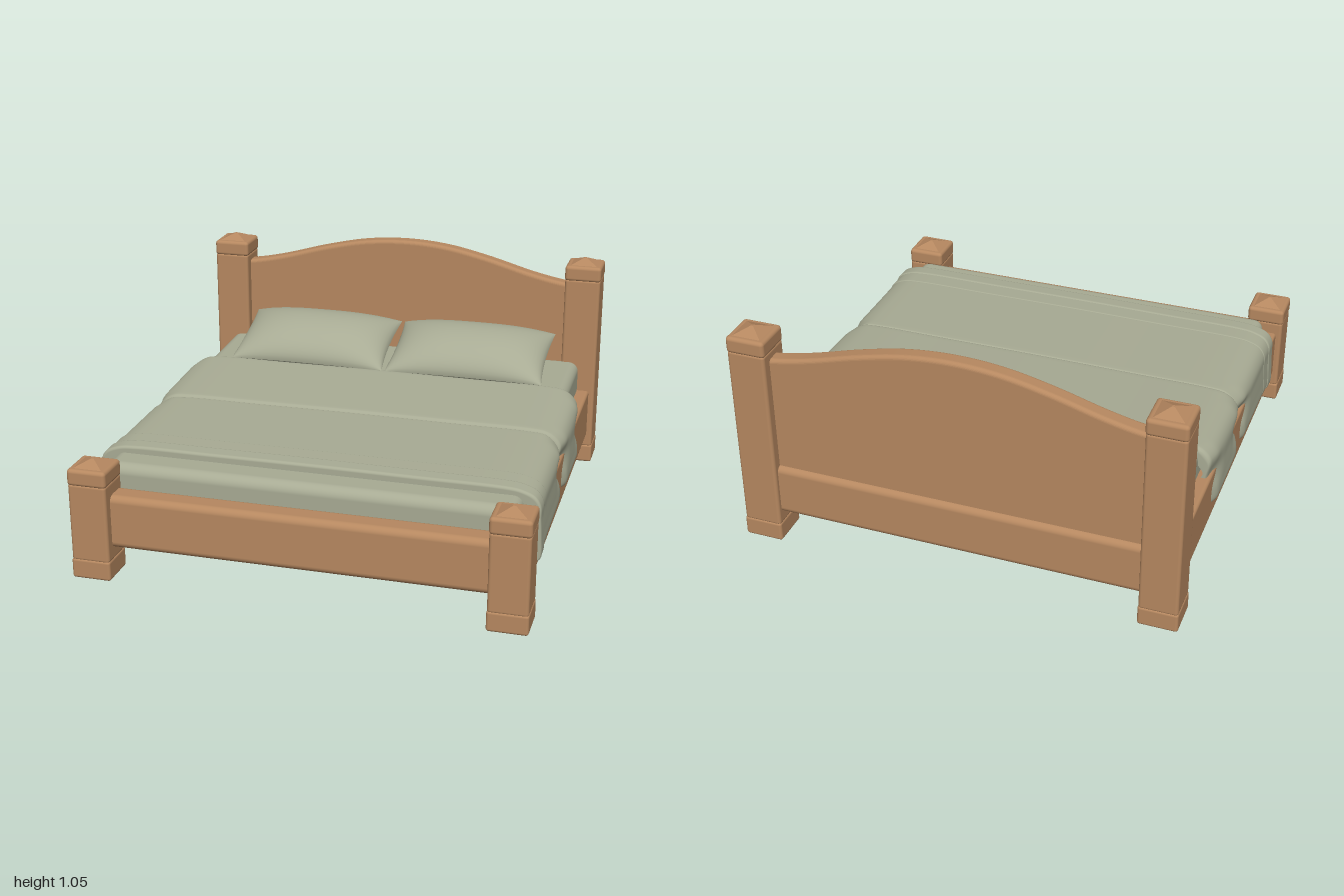
import * as THREE from 'three';
import { RoundedBoxGeometry } from 'three/addons/geometries/RoundedBoxGeometry.js';
import { ParametricGeometry } from 'three/addons/geometries/ParametricGeometry.js';
import { mergeVertices } from 'three/addons/utils/BufferGeometryUtils.js';

const wood = new THREE.MeshStandardMaterial({ color: 0xb68860 });
wood.name = 'wood';
const fabric = new THREE.MeshStandardMaterial({ color: 0xa8ab94, side: THREE.DoubleSide });
fabric.name = 'sage fabric';

function add(parent, name, geometry, material) {
  const mesh = new THREE.Mesh(geometry, material);
  mesh.name = name;
  parent.add(mesh);
  return mesh;
}

// Rounded box given by its lower and upper corners
function block(parent, name, lo, hi, radius, material = wood) {
  const size = hi.map((h, i) => h - lo[i]);
  const mesh = add(parent, name, new RoundedBoxGeometry(...size, 4, radius), material);
  mesh.position.set(...hi.map((h, i) => (h + lo[i]) / 2));
  return mesh;
}

// Post with a foot block, a cap and a low pyramid on top
function post(name, x, z, height) {
  const g = new THREE.Group();
  g.name = name;
  const part = (n, half, y0, y1, r) => block(g, n, [-half, y0, -half], [half, y1, half], r);
  part('postFoot', 0.086, 0, 0.09, 0.012);
  part('postShaft', 0.084, 0.08, height - 0.09, 0.014);
  part('postCap', 0.086, height - 0.1, height - 0.026, 0.016);
  const tip = new THREE.CylinderGeometry(0.008, 0.08 * Math.SQRT2, 0.034, 4).rotateY(Math.PI / 4).toNonIndexed();
  tip.computeVertexNormals();
  add(g, 'postTip', tip, wood).position.y = height - 0.017;
  g.position.set(x, 0, z);
  return g;
}

// Arched panel
function headboard() {
  const s = new THREE.Shape();
  s.moveTo(-0.81, 0.3);
  s.lineTo(-0.81, 0.874);
  s.splineThru([[-0.72, 0.889], [-0.6, 0.917], [-0.4, 0.973], [-0.2, 1.015], [0, 1.029],
    [0.2, 1.015], [0.4, 0.973], [0.6, 0.917], [0.72, 0.889], [0.81, 0.874]].map(p => new THREE.Vector2(...p)));
  s.lineTo(0.81, 0.3);
  return new THREE.ExtrudeGeometry(s, {
    depth: 0.04, bevelThickness: 0.018, bevelSize: 0.018, bevelSegments: 6, curveSegments: 40,
  }).translate(0, 0, -0.935);
}

// Smooth surface through equally long rings of points
function loft(rings) {
  const n = rings[0].length;
  const index = [];
  for (let i = 0; i < rings.length - 1; i++) {
    for (let j = 0; j < n - 1; j++) {
      const a = i * n + j;
      index.push(a, a + n, a + 1, a + 1, a + n, a + n + 1);
    }
  }
  const g = new THREE.BufferGeometry().setFromPoints(rings.flat());
  g.setIndex(index);
  g.computeVertexNormals();
  return g;
}

// Cover over the mattress with rounded ends; pinched ends sink into the side rails
function drape({ z0, z1, top0, top1, bottom0, bottom1, round, grow = 0, pinch0 = 0, pinch1 = 0 }) {
  const { smoothstep, lerp } = THREE.MathUtils;
  const ring = (z, inset) => {
    const t = (z - z0) / (z1 - z0);
    const top = lerp(top0, top1, t) - inset;
    const bottom = lerp(bottom0, bottom1, t) + inset * 0.4;
    const fade = d => Math.max(pinch0 * (1 - smoothstep(z - z0, 0, d)), pinch1 * (1 - smoothstep(z1 - z, 0, d)));
    const grown = grow - inset * 0.5;
    const upper = 0.948 + grown - 0.014 * fade(0.1);
    const middle = 0.951 + grown - 0.03 * fade(0.2);
    const low = 0.955 + grown - 0.03 * fade(0.1);
    const side = [[0.45, top], [0.8, top - 0.002], [0.87, top - 0.01], [upper - 0.025, top - 0.035],
      [upper, top - 0.075], [middle, 0.36], [low, 0.28],
      [low, bottom + 0.015], [low - 0.012, bottom], [0.9, bottom + 0.005]];
    const half = side.map(([x, y]) => new THREE.Vector3(x, y, z));
    const mirrored = half.map(p => new THREE.Vector3(-p.x, p.y, z)).reverse();
    const curve = new THREE.CatmullRomCurve3([...mirrored, new THREE.Vector3(0, top + 0.002, z), ...half]);
    return Array.from({ length: 121 }, (_, i) => curve.getPoint(i / 120));
  };
  const start = [ring(z0, 0.06)];
  const end = [ring(z1, 0.06)];
  for (let k = 0; k <= 4; k++) {
    const a = k * Math.PI / 8;
    const dz = round * (1 - Math.cos(a));
    const inset = round * (1 - Math.sin(a));
    start.push(ring(z0 + dz, inset));
    end.push(ring(z1 - dz, inset));
  }
  const middle = Array.from({ length: 23 }, (_, i) => ring(lerp(z0 + round, z1 - round, (i + 1) / 24), 0));
  return loft([...start, ...middle, ...end.reverse()]);
}

// Plump half of a pillow, with drawn-out corners
function pillowHalf(side) {
  const g = new ParametricGeometry((a, b, p) => {
    const u = Math.sin((a - 0.5) * Math.PI) * side;
    const v = Math.sin((b - 0.5) * Math.PI);
    const plump = Math.pow(Math.max(0, (1 - Math.abs(u) ** 2.7) * (1 - v * v)), 0.52);
    const x = u * 0.378 * (1 - 0.035 * (1 - v * v));
    const z = -v * 0.215 * (1 - 0.03 * (1 - u * u));
    p.set(x, side * plump * (side > 0 ? 0.113 : 0.045), z);
  }, 28, 24);
  g.deleteAttribute('normal');
  g.deleteAttribute('uv');
  const merged = mergeVertices(g);
  merged.computeVertexNormals();
  return merged;
}

export function createModel() {
  const bed = new THREE.Group();
  bed.name = 'bed';

  // Posts and side rails
  for (const s of [1, -1]) {
    const label = s > 0 ? 'left' : 'right';
    bed.add(post(label + 'HeadPost', s * 0.885, -0.914, 1.02));
    bed.add(post(label + 'FootPost', s * 0.885, 0.914, 0.52));
    const rail = [0.86 * s, 0.942 * s].sort((a, b) => a - b);
    block(bed, label + 'SideRail', [rail[0], 0.138, -0.86], [rail[1], 0.372, 0.86], 0.015);
  }

  // Foot and head ends
  block(bed, 'footRail', [-0.84, 0.135, 0.835], [0.84, 0.372, 0.955], 0.03);
  block(bed, 'headRail', [-0.84, 0.135, -0.975], [0.84, 0.372, -0.865], 0.03);
  add(bed, 'headboard', headboard(), wood);

  // Mattress, slightly higher at the head
  const mattress = block(bed, 'mattress', [-0.885, 0.308, -0.87], [0.885, 0.485, 0.815], 0.045, fabric);
  const pos = mattress.geometry.attributes.position;
  for (let i = 0; i < pos.count; i++) {
    if (pos.getY(i) > 0) pos.setY(i, pos.getY(i) - pos.getZ(i) * 0.035);
  }

  // Covers
  add(bed, 'foldedCover', drape({
    z0: -0.44, z1: 0.068, top0: 0.53, top1: 0.502, bottom0: 0.21, bottom1: 0.215,
    round: 0.022, grow: 0.004, pinch0: 1, pinch1: 1,
  }), fabric);
  add(bed, 'blanket', drape({
    z0: 0.062, z1: 0.675, top0: 0.496, top1: 0.488, bottom0: 0.205, bottom1: 0.19, round: 0.015, pinch0: 1.3,
  }), fabric);
  add(bed, 'blanketFold', drape({
    z0: 0.53, z1: 0.68, top0: 0.494, top1: 0.491, bottom0: 0.196, bottom1: 0.188, round: 0.005, grow: 0.002,
  }), fabric);
  add(bed, 'blanketHem', drape({
    z0: 0.612, z1: 0.69, top0: 0.496, top1: 0.493, bottom0: 0.185, bottom1: 0.178, round: 0.012, grow: 0.006,
  }), fabric);

  // Pillows leaning on the headboard
  for (const s of [1, -1]) {
    const pillow = new THREE.Group();
    pillow.name = s > 0 ? 'leftPillow' : 'rightPillow';
    add(pillow, 'pillowTop', pillowHalf(1), fabric);
    add(pillow, 'pillowUnderside', pillowHalf(-1), fabric);
    pillow.position.set(s * 0.385, 0.575, -0.667);
    pillow.rotation.x = 0.285;
    bed.add(pillow);
  }
  return bed;
}
